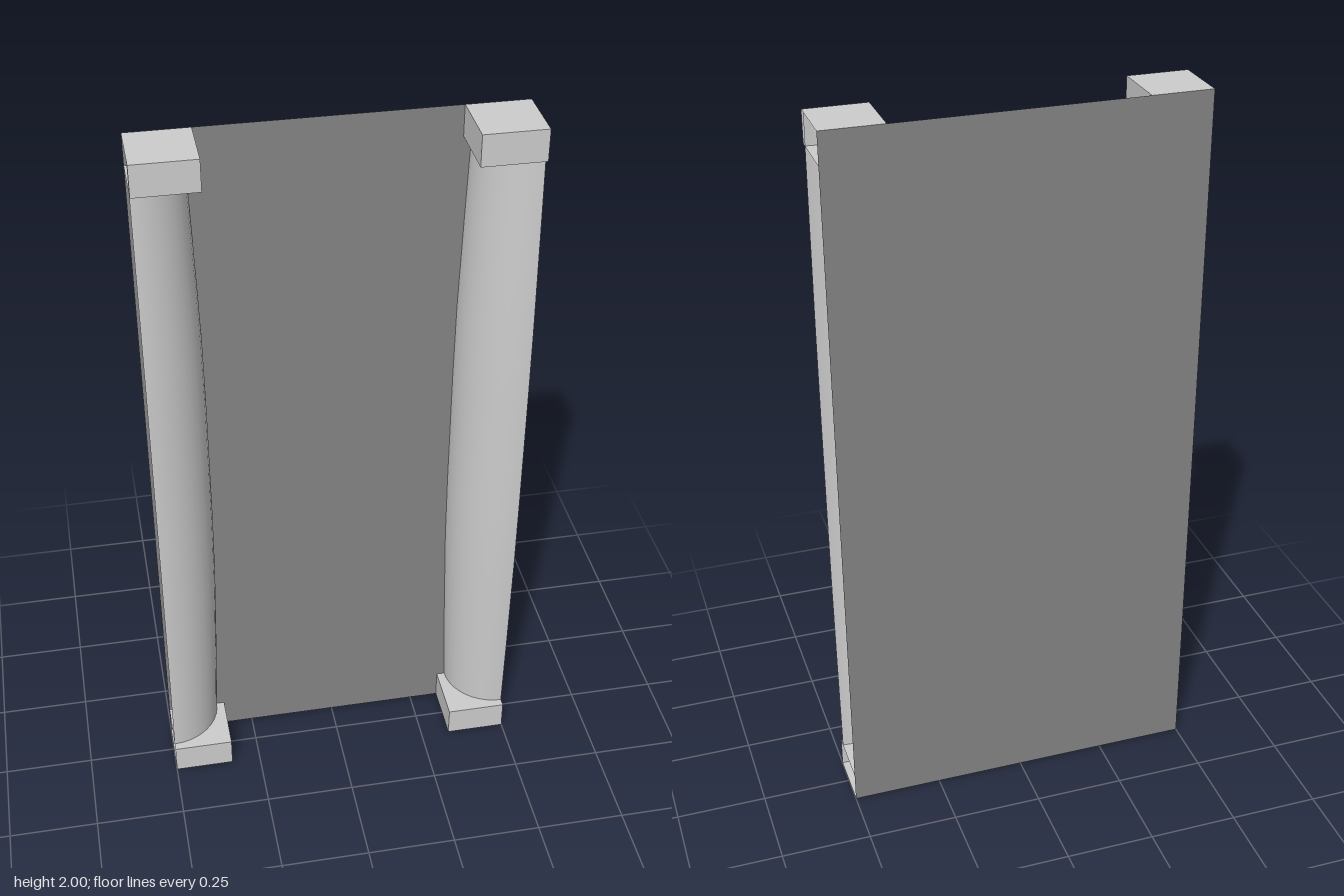
import * as THREE from 'three';

const WIDTH = 1, HEIGHT = 2, BLOCK = 0.167, BLOCK_H = 0.085;
const BACK = -BLOCK / 2;

const stone = new THREE.MeshStandardMaterial({ color: 0xcccccc, side: THREE.DoubleSide });
stone.name = 'pale stone';
const wall = new THREE.MeshStandardMaterial({ color: 0x848484, side: THREE.DoubleSide });
wall.name = 'dark wall';

// Box that is open at the back and on its outer side (side is +1 or -1 along x)
function openBlock(side) {
  const geo = new THREE.BoxGeometry(BLOCK, BLOCK_H, BLOCK);
  const all = Array.from(geo.index.array);
  const faces = [side > 0 ? 1 : 0, 2, 3, 4]; // inner, top, bottom, front
  geo.setIndex(faces.flatMap((f) => all.slice(f * 6, f * 6 + 6)));
  geo.clearGroups();
  return geo;
}

// Quarter-round shaft that swells gently in the middle
function quarterShaft(side) {
  const profile = [
    [0.144, BLOCK_H], [0.154, 0.36], [0.162, 0.64], [0.164, 0.85],
    [0.164, 1.2], [0.162, 1.42], [0.154, 1.7], [0.144, HEIGHT - 0.002],
  ].map(([r, y]) => new THREE.Vector2(r, y));
  const start = side > 0 ? Math.PI * 1.5 : 0;
  return new THREE.LatheGeometry(profile, 10, start, Math.PI / 2);
}

export function createModel() {
  const model = new THREE.Group();
  model.name = 'wallWithColumns';

  const add = (parent, name, geo, mat, x, y, z) => {
    const mesh = new THREE.Mesh(geo, mat);
    mesh.name = name;
    mesh.position.set(x, y, z);
    parent.add(mesh);
  };

  // Thin back panel
  add(model, 'backPanel', new THREE.PlaneGeometry(WIDTH, HEIGHT), wall, 0, HEIGHT / 2, BACK);

  // One column at each end: base, shaft and capital
  for (const side of [-1, 1]) {
    const column = new THREE.Group();
    column.name = side > 0 ? 'leftColumn' : 'rightColumn';
    const x = side * (WIDTH - BLOCK) / 2;
    add(column, 'base', openBlock(side), stone, x, BLOCK_H / 2, 0);
    add(column, 'shaft', quarterShaft(side), stone, side * WIDTH / 2, 0, BACK);
    add(column, 'capital', openBlock(side), stone, x, HEIGHT - BLOCK_H / 2, 0);
    model.add(column);
  }
  return model;
}
